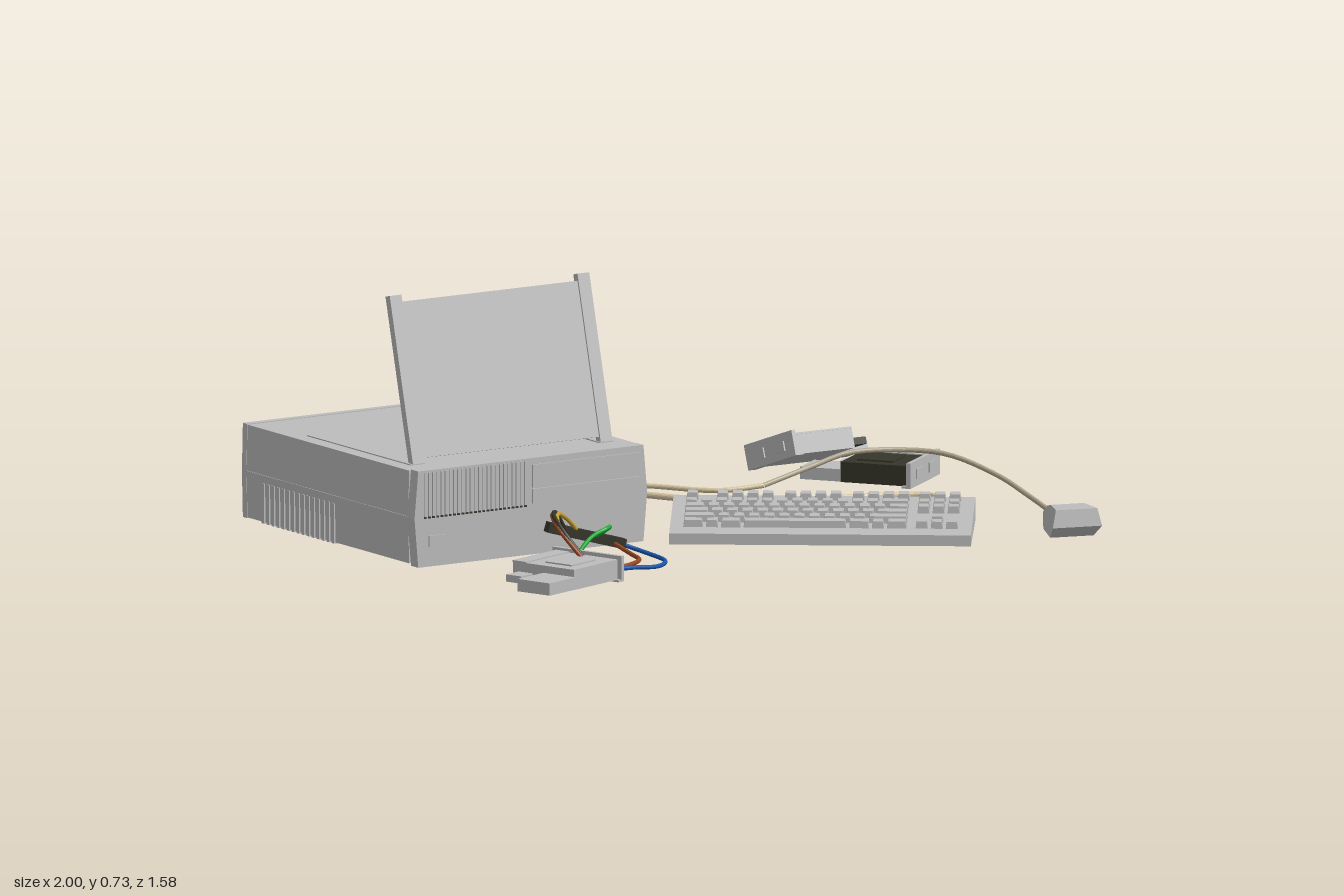
import * as THREE from 'three';

const mat = (name, color) => {
  const m = new THREE.MeshStandardMaterial({ color, side: THREE.DoubleSide, flatShading: true });
  m.name = name;
  return m;
};

export function createModel() {
  const root = new THREE.Group();
  const M = {
    body: mat('case grey', 0xbcbcbc), dark: mat('dark plastic', 0x35352b),
    beige: mat('beige cable', 0xd6c4a0), taupe: mat('taupe cable', 0xb0a68e),
    blue: mat('blue wire', 0x1a56a8), green: mat('green wire', 0x14b032), brown: mat('brown wire', 0x964620),
    yellow: mat('yellow wire', 0xc09a34),
  };
  const add = (parent, name, geo, m, x = 0, y = 0, z = 0) => {
    const mesh = new THREE.Mesh(geo, m);
    mesh.name = name;
    mesh.position.set(x, y, z);
    parent.add(mesh);
    return mesh;
  };
  // box given by its min and max corners
  const box = (parent, name, m, x0, x1, y0, y1, z0, z1) =>
    add(parent, name, new THREE.BoxGeometry(x1 - x0, y1 - y0, z1 - z0), m, (x0 + x1) / 2, (y0 + y1) / 2, (z0 + z1) / 2);
  const group = (name, x = 0, y = 0, z = 0, ry = 0) => {
    const g = new THREE.Group();
    g.name = name;
    g.position.set(x, y, z);
    g.rotation.y = ry;
    root.add(g);
    return g;
  };
  const tube = (parent, name, m, r, pts) => {
    const curve = new THREE.CatmullRomCurve3(pts.map(p => new THREE.Vector3(...p)), false, 'centripetal');
    add(parent, name, new THREE.TubeGeometry(curve, pts.length * 4, r, 14), m);
  };
  const poly = pts => new THREE.Shape(pts.map(p => new THREE.Vector2(...p)));
  const extrude = (shape, depth) => new THREE.ExtrudeGeometry(shape, { depth, bevelEnabled: false });

  // Computer case: six-sided section, widest at the seam
  const pc = group('computerCase');
  const section = (w, y0, y1, taper) =>
    poly([[-w + taper, y0], [w - taper, y0], [w, 0.155], [w - taper, y1], [-w + taper, y1], [-w, 0.155]]);
  const cx = -0.624;
  add(pc, 'caseShell', extrude(section(0.372, 0.027, 0.283, 0.003), 0.81), M.body, cx, 0, -0.61);
  add(pc, 'frontBezel', extrude(section(0.376, 0.02, 0.286, 0.012), 0.036), M.body, cx, 0, 0.202);
  const rim = section(0.373, 0.025, 0.285, 0.003);
  rim.holes.push(poly([[-0.335, 0.055], [-0.335, 0.255], [0.335, 0.255], [0.335, 0.055]]));
  add(pc, 'rearRim', extrude(rim, 0.022), M.body, cx, 0, -0.63);
  for (const s of [-1, 1]) {
    box(pc, 'sideSeam', M.body, cx + s * 0.372 - 0.002, cx + s * 0.372 + 0.002, 0.153, 0.157, -0.61, 0.2);
    for (const z of [-0.5, 0.1]) add(pc, 'foot', new THREE.CylinderGeometry(0.025, 0.025, 0.012, 12), M.body, cx + s * 0.28, 0.022, z);
  }
  // Front grille ribs over a row of dark gaps, drive bay and small plate
  for (let i = 0; i < 25; i++) {
    const x = -0.97 + i * 0.0135;
    box(pc, 'grilleRib', M.body, x, x + 0.008, 0.159, 0.28, 0.236, 0.242);
    box(pc, 'grilleGap', M.dark, x, x + 0.008, 0.153, 0.158, 0.236, 0.24);
  }
  box(pc, 'driveDoor', M.body, -0.621, -0.274, 0.205, 0.268, 0.236, 0.243);
  box(pc, 'drivePanel', M.body, -0.621, -0.274, 0.161, 0.201, 0.236, 0.243);
  box(pc, 'frontPlate', M.body, -0.955, -0.905, 0.075, 0.105, 0.236, 0.242);
  // Vents wrapping from the top to one side and from the other side to the bottom
  for (let i = 0; i < 8; i++) {
    const z = -0.58 + i * 0.025;
    box(pc, 'topVent', M.body, -0.42, -0.252, 0.28, 0.286, z, z + 0.013);
    box(pc, 'sideVent', M.body, -0.256, -0.25, 0.17, 0.286, z, z + 0.013);
  }
  for (let i = 0; i < 15; i++) {
    const z = -0.53 + i * 0.025;
    box(pc, 'lowerSideVent', M.body, -0.998, -0.992, 0.024, 0.135, z, z + 0.013);
    box(pc, 'bottomVent', M.body, -0.996, -0.83, 0.024, 0.03, z, z + 0.013);
  }
  // Leaning panel with its two rails and the tracks they slide in
  for (const x of [-0.926, -0.316]) box(pc, 'railTrack', M.body, x - 0.023, x + 0.023, 0.281, 0.286, -0.38, 0.14);
  const stand = group('leaningPanel', 0, 0.283, 0.13);
  stand.rotation.x = -0.255;
  for (const x of [-0.923, -0.316]) box(stand, 'rail', M.body, x - 0.019, x + 0.019, 0, 0.462, -0.011, 0.011);
  box(stand, 'panel', M.body, -0.905, -0.334, 0.015, 0.443, -0.006, 0.006);

  // Rear plugs and long cables
  for (const y of [0.115, 0.155]) {
    box(pc, 'plug', M.beige, -0.51, -0.455, y - 0.012, y + 0.012, -0.655, -0.608);
  }
  tube(root, 'keyboardCable', M.beige, 0.009, [[-0.48, 0.115, -0.65], [-0.465, 0.11, -0.705], [-0.4, 0.07, -0.735],
    [-0.3, 0.02, -0.72], [-0.15, 0.01, -0.66], [0, 0.01, -0.56], [0.12, 0.01, -0.42], [0.2, 0.01, -0.28], [0.28, 0.01, -0.18],
    [0.45, 0.01, -0.09], [0.6, 0.01, -0.04], [0.7, 0.01, -0.01], [0.79, 0.01, 0.05], [0.74, 0.01, 0.15], [0.63, 0.01, 0.205],
    [0.55, 0.01, 0.19], [0.47, 0.012, 0.115], [0.42, 0.02, 0.125], [0.35, 0.04, 0.21]]);
  tube(root, 'rearMouseCable', M.beige, 0.007, [[-0.48, 0.155, -0.65], [-0.45, 0.15, -0.73], [-0.36, 0.1, -0.776],
    [-0.25, 0.03, -0.765], [-0.05, 0.01, -0.68], [0.1, 0.01, -0.6], [0.22, 0.01, -0.49], [0.35, 0.01, -0.32], [0.46, 0.02, -0.275]]);
  tube(root, 'frontMouseCable', M.taupe, 0.007, [[0.46, 0.02, -0.275], [0.62, 0.06, -0.27], [0.72, 0.088, -0.25],
    [0.87, 0.09, -0.19], [0.94, 0.085, -0.1], [0.99, 0.05, 0.07], [0.98, 0.02, 0.25], [0.92, 0.015, 0.45], [0.855, 0.03, 0.595]]);

  // Keyboard: wedge with tapered keys on its sloping top
  const kb = group('keyboard', 0.248, 0, 0.347, -0.611);
  const wedge = extrude(poly([[-0.172, 0.018], [0.172, 0.006], [0.172, 0.036], [-0.155, 0.08], [-0.172, 0.078]]), 0.82);
  wedge.translate(0, 0, -0.41).rotateY(-Math.PI / 2);
  add(kb, 'keyboardBody', wedge, M.body);
  const deck = new THREE.Group();
  deck.name = 'keys';
  deck.position.y = 0.057;
  deck.rotation.x = 0.134;
  kb.add(deck);
  const U = 0.041;
  const key = (u, v, units = 1) => {
    const w = units * U - 0.007, g = new THREE.BoxGeometry(w, 0.022, 0.033), p = g.attributes.position;
    for (let i = 0; i < p.count; i++) if (p.getY(i) > 0) {
      p.setX(i, p.getX(i) - Math.sign(p.getX(i)) * 0.004);
      p.setZ(i, p.getZ(i) * 0.75);
    }
    g.computeVertexNormals();
    add(deck, 'key', g, M.body, -0.378 + (u + units / 2) * U, 0.01, v);
  };
  [0, 2, 3, 4, 5, 6.5, 7.5, 8.5, 9.5, 11, 12, 13, 14, 15.4, 16.4, 17.4].forEach(u => key(u, -0.137));
  const ones = n => Array(n).fill(1);
  [[...ones(13), 2], [1.5, ...ones(12), 1.5], [1.75, ...ones(11), 2.25], [2.25, ...ones(10), 2.75], [1.5, 1, 1.5, 7, 1.5, 1, 1.5]]
    .forEach((row, r) => {
      let u = 0;
      for (const n of row) { key(u, -0.075 + r * 0.044, n); u += n; }
    });
  for (const u of [15.4, 16.4, 17.4]) {
    key(u, -0.075);
    key(u, -0.031);
    key(u, 0.101);
  }
  key(16.4, 0.057);

  // Mouse: side profile widened towards the rear and narrowed at the top
  const mouse = group('mouse', 0.825, 0, 0.675, -1.84);
  const mg = extrude(poly([[-0.092, 0.012], [-0.08, 0], [0.05, 0], [0.1, 0.035], [0.092, 0.083], [0.01, 0.083], [-0.05, 0.07], [-0.092, 0.045]]), 1);
  mg.translate(0, 0, -0.5);
  const mp = mg.attributes.position;
  for (let i = 0; i < mp.count; i++) {
    const half = THREE.MathUtils.mapLinear(mp.getX(i), -0.092, 0.1, 0.038, 0.07);
    mp.setZ(i, mp.getZ(i) * 2 * half * (mp.getY(i) > 0.06 ? 0.86 : 1));
  }
  mg.computeVertexNormals();
  add(mouse, 'mouseBody', mg, M.body);

  // Removable drive modules: bracket, box, tab and small connector
  const driveModule = (name, x, y, z, ry, tilt, boxMat = M.body, connectorMat = M.body) => {
    const g = group(name, x, y, z, ry);
    g.rotation.x = tilt;
    box(g, 'bracket', M.body, -0.006, 0.006, -0.034, 0.036, -0.118, 0.118);
    box(g, 'bracketLip', M.body, 0, 0.02, -0.034, -0.028, -0.118, 0.118);
    box(g, 'moduleBox', boxMat, 0.006, 0.2, -0.03, 0.026, -0.105, 0.105);
    box(g, 'tab', M.body, 0.2, 0.315, -0.028, 0.006, -0.11, 0);
    box(g, 'connector', connectorMat, 0.2, 0.255, -0.02, 0, 0.035, 0.085);
    box(g, 'labelPlate', boxMat, 0.06, 0.165, 0.025, 0.03, -0.07, 0.02);
    box(g, 'edgeStrip', M.body, 0.006, 0.2, 0.024, 0.029, 0.06, 0.106);
    for (const s of [-0.05, 0.05]) box(g, 'port', M.body, -0.01, -0.005, -0.014, 0.014, s - 0.024, s + 0.024);
    return g;
  };
  driveModule('frontModule', -0.617, 0.036, 0.515, Math.PI + 0.34, 0);
  const backModule = driveModule('backModule', 0.57, 0.085, -0.405, 0.04, -0.33, M.body, M.dark);
  const opening = extrude(poly([[0.014, -0.075], [0.05, -0.075], [0.078, -0.055], [0.078, 0.01], [0.05, 0.03], [0.014, 0.03]]), 0.008);
  add(backModule, 'darkOpening', opening.rotateX(Math.PI / 2), M.dark, 0, 0.036, 0);
  driveModule('angledModule', 0.882, 0.045, -0.13, 2.218, 0, M.dark);

  // Dark connector bar and the loose wires to the front module
  const bar = box(root, 'connectorBar', M.dark, -0.605, -0.37, 0.055, 0.083, 0.285, 0.315);
  bar.rotation.set(0, -0.17, -0.27, 'YZX');
  const wire = (name, m, ...pts) => tube(root, name, m, 0.006, pts);
  wire('blueWire', M.blue, [-0.58, 0.03, 0.59], [-0.5, 0.025, 0.575], [-0.42, 0.015, 0.55], [-0.335, 0.01, 0.46], [-0.345, 0.02, 0.37], [-0.39, 0.04, 0.31]);
  wire('brownWire', M.brown, [-0.58, 0.03, 0.58], [-0.5, 0.03, 0.55], [-0.43, 0.025, 0.48], [-0.405, 0.025, 0.4], [-0.41, 0.045, 0.31]);
  wire('greenWire', M.green, [-0.62, 0.05, 0.46], [-0.57, 0.095, 0.455], [-0.52, 0.115, 0.455], [-0.475, 0.105, 0.4], [-0.46, 0.065, 0.31]);
  wire('darkWire', M.dark, [-0.63, 0.05, 0.52], [-0.665, 0.12, 0.47], [-0.66, 0.155, 0.41], [-0.6, 0.145, 0.33], [-0.55, 0.085, 0.3]);
  wire('yellowWire', M.yellow, [-0.62, 0.05, 0.49], [-0.64, 0.12, 0.41], [-0.61, 0.148, 0.35], [-0.56, 0.125, 0.32], [-0.51, 0.08, 0.3]);
  wire('secondBrownWire', M.brown, [-0.64, 0.05, 0.53], [-0.672, 0.13, 0.45], [-0.64, 0.15, 0.37], [-0.59, 0.125, 0.31], [-0.57, 0.09, 0.29]);
  return root;
}
